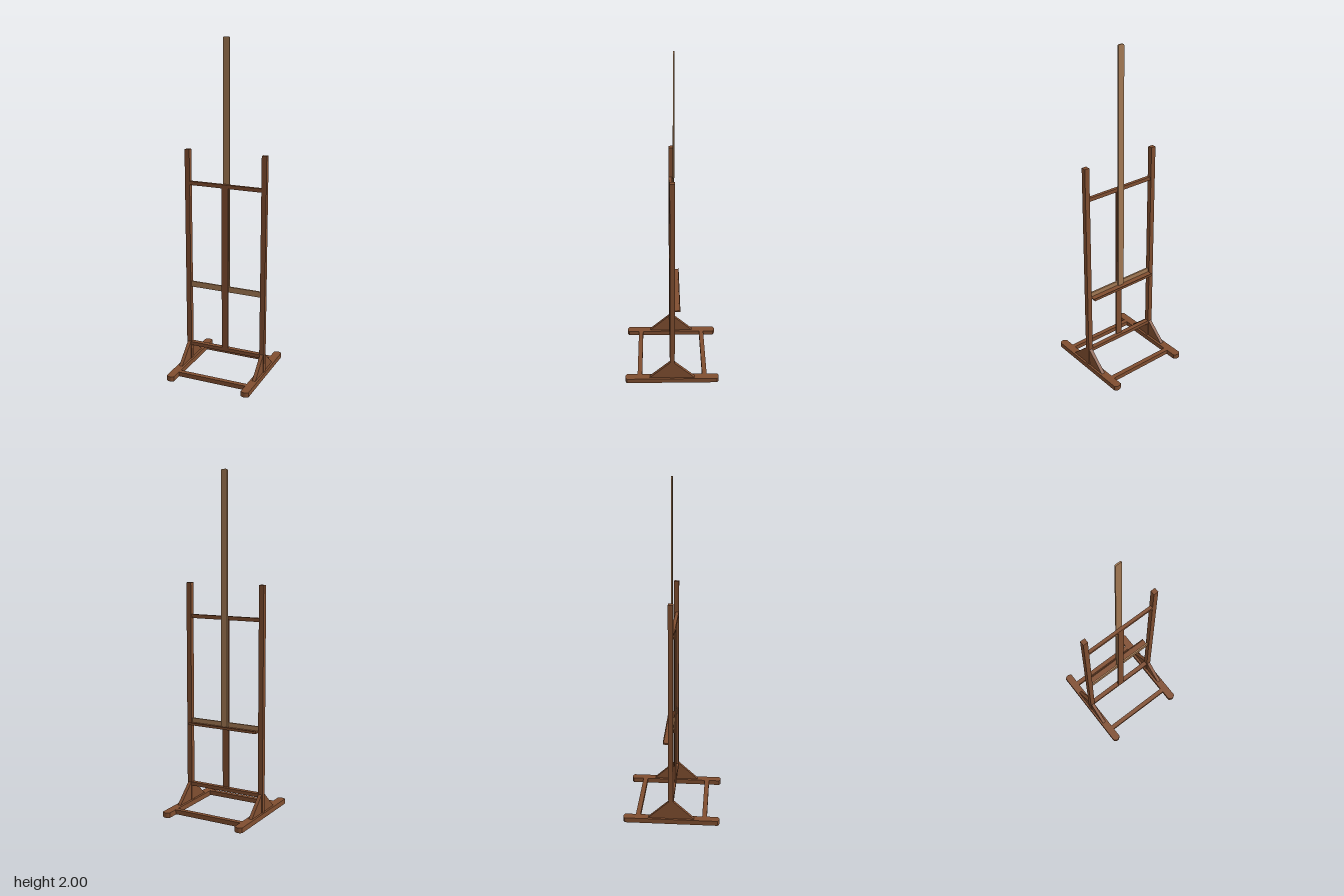
import * as THREE from 'three';

export function createModel() {
  const model = new THREE.Group();
  model.name = 'easel';
  const darkWood = new THREE.MeshStandardMaterial({ color: 0x804e30 });
  darkWood.name = 'dark wood';
  const lightWood = new THREE.MeshStandardMaterial({ color: 0xa47a54 });
  lightWood.name = 'light wood';

  const add = (name, geometry, material) => {
    const mesh = new THREE.Mesh(geometry, material);
    mesh.name = name;
    model.add(mesh);
    return mesh;
  };
  // Box given by its limits on each axis
  const bar = (name, [x0, x1], [y0, y1], [z0, z1], material = darkWood) => {
    const mesh = add(name, new THREE.BoxGeometry(x1 - x0, y1 - y0, z1 - z0), material);
    mesh.position.set((x0 + x1) / 2, (y0 + y1) / 2, (z0 + z1) / 2);
    return mesh;
  };
  const extrude = (shape, depth) =>
    new THREE.ExtrudeGeometry(shape, { depth, bevelEnabled: false, curveSegments: 10 });

  // Foot outline with bowed ends, laid flat
  const footShape = new THREE.Shape();
  footShape.moveTo(-0.024, -0.276);
  footShape.quadraticCurveTo(0, -0.299, 0.024, -0.276);
  footShape.lineTo(0.024, 0.276);
  footShape.quadraticCurveTo(0, 0.299, -0.024, 0.276);
  footShape.closePath();

  // Triangular brace in the z-y plane
  const braceShape = new THREE.Shape([
    new THREE.Vector2(0.013, 0.03),
    new THREE.Vector2(0.137, 0.03),
    new THREE.Vector2(0.013, 0.143),
  ]);

  for (const [side, s] of [['left', 1], ['right', -1]]) {
    const foot = add(side + 'Foot', extrude(footShape, 0.03), darkWood);
    foot.rotation.x = -Math.PI / 2;
    foot.position.x = s * 0.239;

    const x = s * 0.24;
    bar(side + 'Upright', [x - 0.015, x + 0.015], [0.03, 1.355], [-0.016, 0.013]);

    for (const [end, d] of [['Front', 1], ['Back', -1]]) {
      const brace = add(side + end + 'Brace', extrude(braceShape, 0.021), darkWood);
      brace.rotation.y = -d * Math.PI / 2;
      brace.position.x = x + d * 0.0105;
    }
  }

  // Rails joining the feet and uprights
  bar('frontBaseRail', [-0.215, 0.215], [0.003, 0.03], [0.184, 0.212]);
  bar('backBaseRail', [-0.215, 0.215], [0.003, 0.03], [-0.214, -0.186]);
  bar('lowerCrossbar', [-0.225, 0.225], [0.12, 0.142], [-0.015, 0.013]);
  bar('upperCrossbar', [-0.225, 0.225], [1.145, 1.167], [-0.007, 0.013]);

  // Centre post between the crossbars
  bar('centrePost', [-0.02, 0.02], [0.142, 1.145], [0.003, 0.013]);

  // Canvas shelf: back board, ledge and lip
  bar('shelfBoard', [-0.225, 0.225], [0.505, 0.54], [-0.007, 0.003], lightWood);
  bar('shelfLedge', [-0.225, 0.225], [0.505, 0.513], [-0.044, -0.007]);
  bar('shelfLip', [-0.225, 0.225], [0.505, 0.52], [-0.049, -0.044]);

  // Sliding mast with rounded top corners
  const mastShape = new THREE.Shape();
  mastShape.moveTo(-0.02, 0.513);
  mastShape.lineTo(0.02, 0.513);
  mastShape.lineTo(0.02, 1.988);
  mastShape.quadraticCurveTo(0.02, 2, 0.008, 2);
  mastShape.lineTo(-0.008, 2);
  mastShape.quadraticCurveTo(-0.02, 2, -0.02, 1.988);
  mastShape.closePath();
  add('mast', extrude(mastShape, 0.008), lightWood).position.z = -0.0155;

  return model;
}
